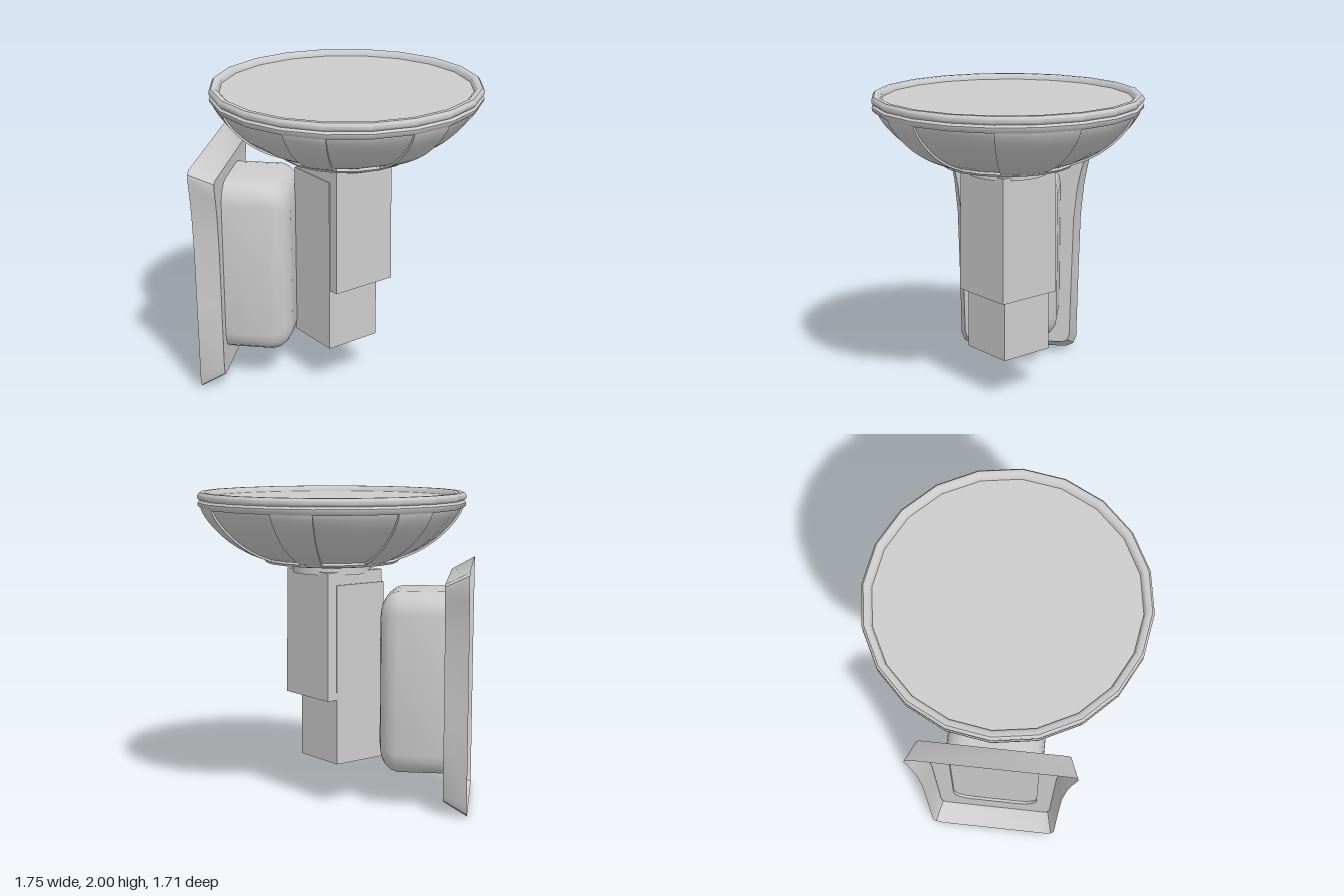
import * as THREE from 'three';
import { toCreasedNormals } from 'three/addons/utils/BufferGeometryUtils.js';

const grey = new THREE.MeshStandardMaterial({ color: 0xcccccc });
const greyDouble = new THREE.MeshStandardMaterial({ color: 0xcccccc, side: THREE.DoubleSide });
const greyFlat = new THREE.MeshStandardMaterial({ color: 0xcccccc, flatShading: true });
const SEG = Math.PI / 10; // the dish has 20 sides
const vec = (pts) => pts.map(([x, y]) => new THREE.Vector2(x, y));

function add(parent, name, geometry, material = grey) {
  const mesh = new THREE.Mesh(geometry, material);
  mesh.name = name;
  parent.add(mesh);
  return mesh;
}

// Joins rings of [z, y] points standing at successive x, optionally capped
function loft(rings, capped) {
  const pos = [], index = [], n = rings[0].pts.length;
  for (const { x, pts } of rings) for (const [z, y] of pts) pos.push(x, y, z);
  for (let i = 0; i < rings.length - 1; i++) {
    for (let j = 0; j < n; j++) {
      const a = i * n + j, b = i * n + (j + 1) % n;
      index.push(a, a + n, b, b, a + n, b + n);
    }
  }
  if (capped) {
    const last = (rings.length - 1) * n;
    for (let j = 1; j < n - 1; j++) {
      index.push(0, j, j + 1);
      index.push(last, last + j + 1, last + j);
    }
  }
  const geo = new THREE.BufferGeometry();
  geo.setAttribute('position', new THREE.Float32BufferAttribute(pos, 3));
  geo.setIndex(index);
  return toCreasedNormals(geo, 0.65);
}

// Rounded rectangle of [z, y] points
function roundRect(halfZ, y0, y1, r, steps = 4) {
  const pts = [];
  const corners = [[1, y1 - r], [-1, y1 - r], [-1, y0 + r], [1, y0 + r]];
  corners.forEach(([s, cy], q) => {
    for (let k = 0; k <= steps; k++) {
      const a = (q + k / steps) * Math.PI / 2;
      pts.push([s * (halfZ - r) + r * Math.cos(a), cy + r * Math.sin(a)]);
    }
  });
  return pts;
}

// Mirrors one half of an outline (bottom to top) across z = 0
const mirror = (half) => [...half, ...half.map(([z, y]) => [-z, y]).reverse()];

function makeDish() {
  const dish = new THREE.Group();
  dish.name = 'dish';
  const curve = new THREE.SplineCurve(vec([[0.43, 1.57], [0.54, 1.615], [0.66, 1.69], [0.76, 1.785], [0.815, 1.86], [0.832, 1.9]]));
  const outer = curve.getPoints(12);
  const inner = outer.map((p, i) => {
    const t = curve.getTangent(i / 12);
    return new THREE.Vector2(p.x - t.y * 0.014, p.y + t.x * 0.014);
  });

  // Recessed bowl surface, seen in the panels
  add(dish, 'recessedPanels', new THREE.LatheGeometry(inner, 20));

  // Ribs between panels: [first side, number of sides]
  const wall = new THREE.ShapeGeometry(new THREE.Shape([...outer, ...inner.slice().reverse()]));
  for (const [start, count] of [[2, 1], [5, 2], [9, 1], [12, 1], [15, 2], [19, 1]]) {
    add(dish, 'rib', new THREE.LatheGeometry(outer, count, start * SEG, count * SEG));
    for (const edge of [start, start + count]) {
      add(dish, 'ribEdge', wall, greyDouble).rotation.y = edge * SEG - Math.PI / 2;
    }
  }

  // Flat underside with its lower edge
  const base = new THREE.LatheGeometry(vec([[0, 1.56], [0.375, 1.56], [0.385, 1.55], [0.42, 1.555], [0.432, 1.57], [0.42, 1.59]]), 20);
  add(dish, 'underside', toCreasedNormals(base, 0.6));

  // Double bead rim and sunken top
  const rim = new THREE.LatheGeometry(vec([
    [0.81, 1.9], [0.832, 1.9], [0.85, 1.918], [0.853, 1.936], [0.84, 1.95], [0.852, 1.962],
    [0.853, 1.984], [0.84, 2], [0.812, 2], [0.797, 1.988], [0.792, 1.965], [0, 1.965]
  ]), 20);
  add(dish, 'rimAndTop', toCreasedNormals(rim, 0.75));

  // Short neck under the bowl
  const neck = new THREE.LatheGeometry(vec([[0, 1.49], [0.25, 1.49], [0.25, 1.535], [0.265, 1.54], [0.265, 1.57]]), 20);
  add(dish, 'neck', toCreasedNormals(neck, 0.6));
  dish.position.x = 0.02;
  return dish;
}

function makeMount() {
  const mount = new THREE.Group();
  mount.name = 'wallMount';

  // Flared flange, open at the back
  const back = mirror([[0.35, 0], [0.4, 0.025], [0.42, 0.08], [0.43, 0.6], [0.44, 1.0], [0.462, 1.23], [0.49, 1.38], [0.52, 1.5], [0.515, 1.53], [0.49, 1.55]]);
  const front = mirror([[0.33, 0.085], [0.36, 0.1], [0.375, 0.14], [0.385, 0.6], [0.395, 1.0], [0.415, 1.2], [0.44, 1.34], [0.468, 1.43], [0.465, 1.455], [0.445, 1.47]]);
  add(mount, 'flange', loft([{ x: -0.88, pts: back }, { x: -0.73, pts: front }], false), greyDouble);

  // Plate with an opening behind the housing
  const shape = new THREE.Shape(vec(front));
  shape.holes.push(new THREE.Path(vec(roundRect(0.28, 0.25, 1.36, 0.12))));
  const plate = new THREE.ExtrudeGeometry(shape, { depth: 0.02, bevelEnabled: false });
  plate.rotateY(Math.PI / 2);
  add(mount, 'plate', plate).position.x = -0.75;

  // Rounded housing between plate and post
  const sections = [[-0.732, 0], [-0.43, 0], [-0.385, 0.014], [-0.345, 0.045], [-0.322, 0.085], [-0.312, 0.13]];
  add(mount, 'housing', loft(sections.map(([x, inset]) => ({
    x, pts: roundRect(0.3 - inset, 0.225 + inset, 1.39 - inset, 0.14 - inset * 0.4)
  })), true));
  return mount;
}

export function createModel() {
  const model = new THREE.Group();
  model.name = 'wallBracketDish';
  model.add(makeDish(), makeMount());

  // Square posts, turned corner-on to the front
  const lower = add(model, 'lowerPost', new THREE.CylinderGeometry(0.265, 0.267, 1.145, 4), greyFlat);
  lower.position.set(-0.05, 0.8575, 0);
  const upper = add(model, 'upperPost', new THREE.CylinderGeometry(0.304, 0.314, 0.81, 4), greyFlat);
  upper.position.set(0.002, 1.105, 0);
  return model;
}
